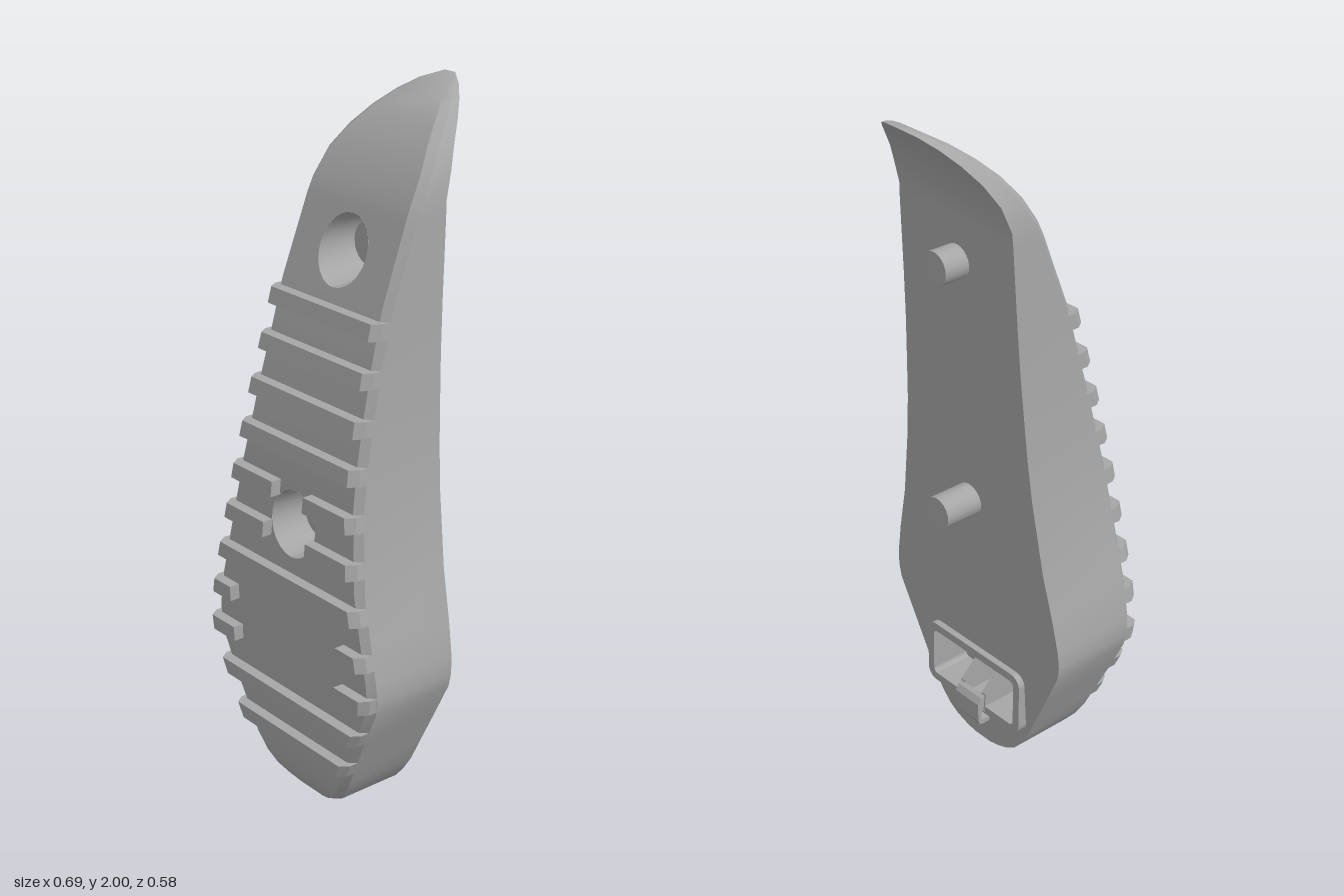
import * as THREE from 'three';
import { mergeGeometries, toCreasedNormals } from 'three/addons/utils/BufferGeometryUtils.js';

// Height, half width and front depth of the pad
const STATIONS = [
  [0, 0.035, 0.185], [0.008, 0.07, 0.195], [0.022, 0.11, 0.205], [0.045, 0.145, 0.22], [0.08, 0.175, 0.233],
  [0.13, 0.207, 0.242], [0.2, 0.24, 0.247], [0.3, 0.288, 0.255], [0.41, 0.34, 0.259], [0.45, 0.347, 0.26],
  [0.5, 0.345, 0.262], [0.6, 0.326, 0.263], [0.74, 0.293, 0.258], [0.96, 0.259, 0.234], [1.08, 0.247, 0.21],
  [1.2, 0.239, 0.183], [1.33, 0.231, 0.15], [1.47, 0.226, 0.113], [1.69, 0.221, 0.03], [1.73, 0.219, 0.012],
  [1.8, 0.207, -0.03], [1.86, 0.178, -0.077], [1.91, 0.145, -0.13], [1.95, 0.108, -0.182], [1.98, 0.068, -0.235],
  [2, 0.02, -0.287],
];
const LIP = [[1.73, -0.09], [1.8, -0.115], [1.86, -0.15], [1.91, -0.19], [1.95, -0.228], [1.98, -0.262], [2, -0.291]];
const FLAT_TOP = 1.73;
const SCREWS = [0.85, 1.58];
const HOLE_R = 0.094;

function lerpTable(table, col, y) {
  for (let i = 1; i < table.length; i++) {
    const a = table[i - 1], b = table[i];
    if (y <= b[0] || i === table.length - 1) return a[col] + (b[col] - a[col]) * (y - a[0]) / (b[0] - a[0]);
  }
}
const halfWidth = (y) => lerpTable(STATIONS, 1, y);
const front = (y) => lerpTable(STATIONS, 2, y);
const back = (y) => (y <= FLAT_TOP ? 0.005 - 0.055 * y : lerpTable(LIP, 1, y));
const bevel = (y) => Math.min(0.02, halfWidth(y) * 0.3, (front(y) - back(y)) * 0.4);

const plain = (g) => {
  const n = g.index ? g.toNonIndexed() : g;
  n.deleteAttribute('normal');
  n.deleteAttribute('uv');
  return n;
};

// Flat outline laid on a depth rule; flip turns it to face the back
function sheet(points, holes, depth, flip) {
  const shape = new THREE.Shape(points.map((p) => new THREE.Vector2(p[0], p[1])));
  shape.holes.push(...holes);
  const g = new THREE.ShapeGeometry(shape, 24);
  const p = g.attributes.position;
  for (let i = 0; i < p.count; i++) p.setZ(i, depth(p.getY(i)));
  if (flip) g.index.array.reverse();
  return plain(g);
}

function roundedRect(target, hw, y0, y1, r) {
  target.moveTo(hw, y0 + r);
  target.absarc(hw - r, y1 - r, r, 0, Math.PI / 2);
  target.absarc(-hw + r, y1 - r, r, Math.PI / 2, Math.PI);
  target.absarc(-hw + r, y0 + r, r, Math.PI, Math.PI * 1.5);
  target.absarc(hw - r, y0 + r, r, Math.PI * 1.5, Math.PI * 2);
  return target;
}

function bodyGeometry() {
  const parts = [];
  const trapezoid = (a, b, wa, wb) => [[-wa, a], [wa, a], [wb, b], [-wb, b]];
  const ys = STATIONS.map((s) => s[0]);
  const verts = [];
  const quad = (a, b, c, d) => verts.push(...a, ...b, ...c, ...a, ...c, ...d);
  const edge = (y, s) => {
    const w = halfWidth(y), b = bevel(y), f = front(y);
    return [[s * w, y, back(y)], [s * w, y, f - b], [s * (w - b), y, f]];
  };
  for (let i = 1; i < ys.length; i++) {
    const a = ys[i - 1], b = ys[i];
    // Front band, pierced where a screw sits
    const holes = SCREWS.filter((y) => y > a && y < b)
      .map((y) => new THREE.Path().absarc(0, y, HOLE_R, 0, Math.PI * 2, true));
    parts.push(sheet(trapezoid(a, b, halfWidth(a) - bevel(a), halfWidth(b) - bevel(b)), holes, front, false));
    if (a >= FLAT_TOP) parts.push(sheet(trapezoid(a, b, halfWidth(a), halfWidth(b)), [], back, true));
    // Side wall and bevel
    for (const s of [1, -1]) {
      const p = edge(a, s), q = edge(b, s);
      for (let k = 0; k < 2; k++) {
        if (s > 0) quad(p[k + 1], p[k], q[k], q[k + 1]);
        else quad(p[k], p[k + 1], q[k + 1], q[k]);
      }
    }
  }
  // End caps
  for (const [y, up] of [[0, false], [2, true]]) {
    const l = edge(y, -1), r = edge(y, 1);
    for (let k = 0; k < 2; k++) {
      if (up) quad(l[k + 1], r[k + 1], r[k], l[k]);
      else quad(l[k], r[k], r[k + 1], l[k + 1]);
    }
  }
  // Flat back with the socket opening
  const low = ys.filter((y) => y <= FLAT_TOP);
  const outline = [...low.map((y) => [halfWidth(y), y]), ...low.slice().reverse().map((y) => [-halfWidth(y), y])];
  parts.push(sheet(outline, [roundedRect(new THREE.Path(), 0.185, 0.15, 0.33, 0.025)], back, true));
  const walls = new THREE.BufferGeometry();
  walls.setAttribute('position', new THREE.Float32BufferAttribute(verts, 3));
  parts.push(walls);
  return toCreasedNormals(mergeGeometries(parts), 0.45);
}

// Rib slab that follows the front slope; an inner x above 0 leaves a gap in the middle
function ribGeometry(yc, height, inner, side) {
  const w = halfWidth(yc), f = front(yc), top = f + 0.031;
  const pts = inner > 0
    ? [[inner, f - 0.02], [w - 0.02, f - 0.02], [w, f - 0.03], [w, f + 0.005], [w - 0.018, top], [inner, top]]
    : [[-w, f - 0.03], [w, f - 0.03], [w, f + 0.005], [w - 0.018, top], [-w + 0.018, top], [-w, f + 0.005]];
  const shape = new THREE.Shape(pts.map((p) => new THREE.Vector2(p[0] * side, -p[1])));
  const g = new THREE.ExtrudeGeometry(shape, { depth: height, bevelEnabled: false });
  g.rotateX(-Math.PI / 2).translate(0, yc - height / 2, 0);
  const p = g.attributes.position;
  for (let i = 0; i < p.count; i++) {
    const x = p.getX(i), y = p.getY(i);
    p.setZ(i, p.getZ(i) + front(y) - f);
    if (Math.abs(x) > w - 0.03) p.setX(i, x + Math.sign(x) * (halfWidth(y) - w));
  }
  g.computeVertexNormals();
  return g;
}

export function createModel() {
  const model = new THREE.Group();
  model.name = 'recoilPad';
  const rubber = new THREE.MeshStandardMaterial({ color: 0xa6a6a6, side: THREE.DoubleSide });
  rubber.name = 'greyRubber';
  const add = (name, geometry, parent = model) => {
    const mesh = new THREE.Mesh(geometry, rubber);
    mesh.name = name;
    parent.add(mesh);
    return mesh;
  };
  add('padBody', bodyGeometry());

  // Grip ribs, split where they meet the lower screw hole or the smooth patch
  const ribs = new THREE.Group();
  ribs.name = 'gripRibs';
  model.add(ribs);
  for (let i = 0; i < 11; i++) {
    const y = 0.197 + i * 0.1228;
    let inner = 0;
    if (i === 2) inner = 0.225;
    else if (i === 3) inner = 0.235;
    else if (i === 5) inner = 0.092;
    else if (i === 6) inner = 0.068;
    if (inner) for (const s of [1, -1]) add('splitRib', ribGeometry(y, 0.044, inner, s), ribs);
    else add('rib', ribGeometry(y, 0.044, 0, 1), ribs);
  }

  // Recessed screws with shafts out of the back
  for (const y of SCREWS) {
    const screw = new THREE.Group();
    screw.name = 'screw';
    model.add(screw);
    const floor = front(y) - 0.12;
    const wall = new THREE.CylinderGeometry(HOLE_R, 0.08, 1, 24, 1, true).rotateX(Math.PI / 2).translate(0, y, 0);
    const p = wall.attributes.position;
    for (let i = 0; i < p.count; i++) p.setZ(i, p.getZ(i) > 0 ? front(p.getY(i)) : floor);
    wall.computeVertexNormals();
    add('holeWall', wall, screw);
    add('holeFloor', new THREE.CircleGeometry(0.08, 24).translate(0, y, floor), screw);
    const head = new THREE.CylinderGeometry(0.062, 0.075, 0.03, 24).rotateX(Math.PI / 2);
    add('screwHead', head.translate(0, y, floor + 0.016), screw);
    const length = floor + 0.16;
    const shaft = new THREE.CylinderGeometry(0.048, 0.048, length, 20).rotateX(Math.PI / 2);
    add('screwShaft', shaft.translate(0, y, -0.16 + length / 2), screw);
  }

  // Socket frame sunk into the back
  const socket = new THREE.Group();
  socket.name = 'backSocket';
  model.add(socket);
  const ring = roundedRect(new THREE.Shape(), 0.2, 0.135, 0.338, 0.035);
  ring.holes.push(roundedRect(new THREE.Path(), 0.175, 0.16, 0.313, 0.015));
  add('socketFrame', new THREE.ExtrudeGeometry(ring, { depth: 0.133, bevelEnabled: false, curveSegments: 5 })
    .translate(0, 0, -0.033), socket);
  add('socketFloor', new THREE.BoxGeometry(0.37, 0.17, 0.01).translate(0, 0.237, 0.098), socket);

  // Side profiles given as [z, y], extruded across x
  const across = (pts, width, x) => new THREE.ExtrudeGeometry(
    new THREE.Shape(pts.map((q) => new THREE.Vector2(-q[0], q[1]))), { depth: width, bevelEnabled: false })
    .rotateY(Math.PI / 2).translate(x - width / 2, 0, 0);
  for (const x of [-0.045, 0.045]) {
    add('gusset', across([[0.095, 0.315], [-0.03, 0.2], [-0.035, 0.14], [0.095, 0.14]], 0.018, x), socket);
  }
  add('latchHook', across([[-0.03, 0.195], [-0.043, 0.19], [-0.055, 0.172], [-0.055, 0.115], [-0.046, 0.098],
    [-0.012, 0.098], [-0.012, 0.11], [-0.038, 0.113], [-0.043, 0.125], [-0.043, 0.14], [-0.025, 0.145]], 0.1, 0), socket);
  return model;
}
